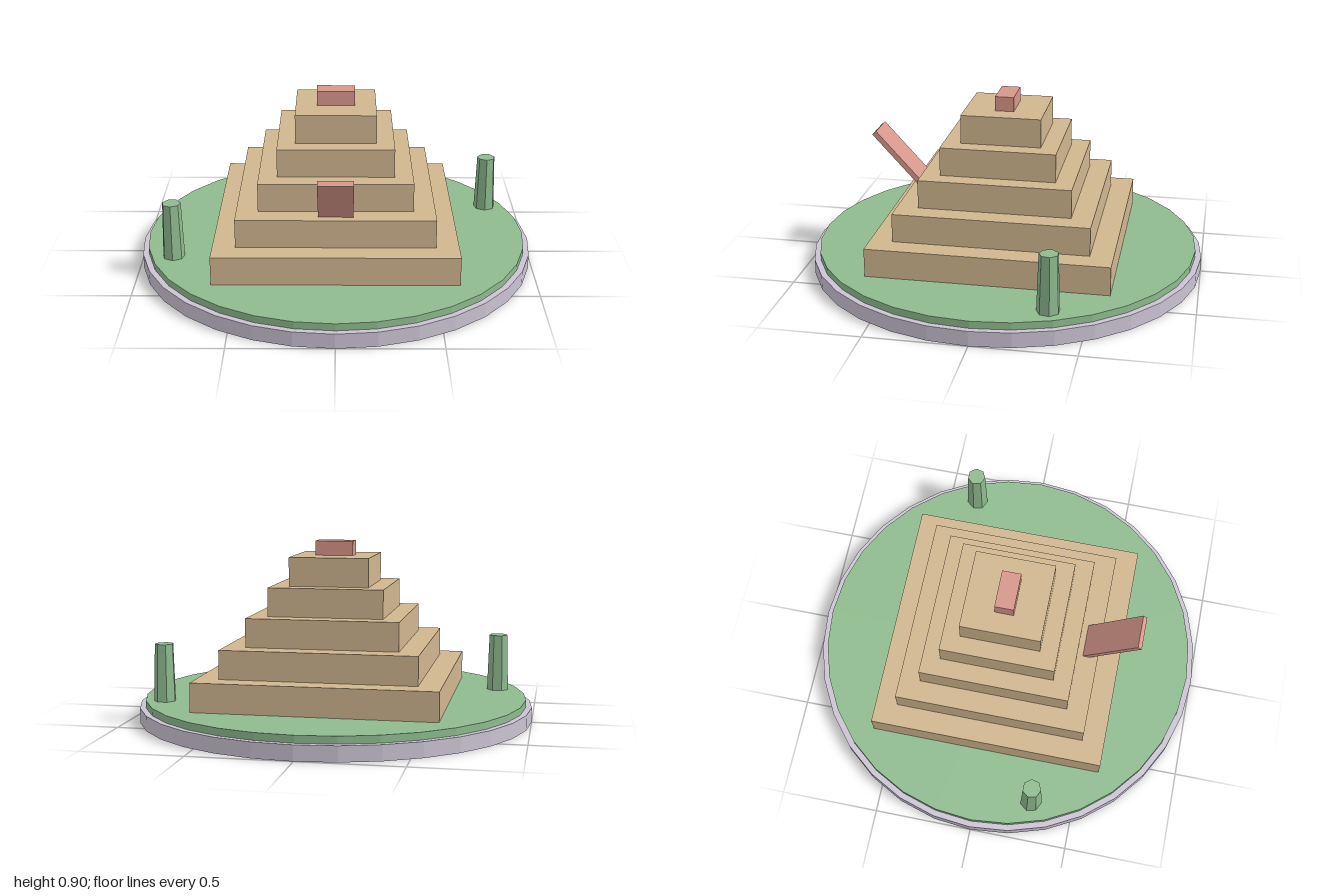
import * as THREE from 'three';

export function createModel() {
  const model = new THREE.Group();
  model.name = 'steppedPyramid';

  const material = (name, color) => {
    const m = new THREE.MeshStandardMaterial({ color, flatShading: true });
    m.name = name;
    return m;
  };
  const stone = material('palestone', 0xcbc3d3);
  const grass = material('green', 0x8fbb8f);
  const sand = material('sand', 0xd0b68f);
  const clay = material('clay', 0xd6978a);

  const add = (name, geometry, mat, x, y, z) => {
    const mesh = new THREE.Mesh(geometry, mat);
    mesh.name = name;
    mesh.position.set(x, y, z);
    model.add(mesh);
    return mesh;
  };

  // Round plinth and lawn
  add('plinth', new THREE.CylinderGeometry(1, 1, 0.075, 32), stone, 0, 0.0375, 0);
  add('lawn', new THREE.CylinderGeometry(0.97, 0.97, 0.036, 32), grass, 0, 0.093, 0);

  // Square tiers: each has a width and shares its edges with the next level
  const levels = [0.111, 0.255, 0.398, 0.541, 0.684, 0.828];
  [1.195, 0.97, 0.757, 0.575, 0.4].forEach((width, i) => {
    const height = levels[i + 1] - levels[i];
    add(`tier${i + 1}`, new THREE.BoxGeometry(width, height, width), sand, 0, levels[i] + height / 2, 0);
  });

  // Small block on the summit
  add('summitBlock', new THREE.BoxGeometry(0.19, 0.073, 0.095), clay, 0, 0.8645, 0);

  // Slab leaning out of the second tier, its foot sunk into the stone
  const slope = THREE.MathUtils.degToRad(47.5);
  const length = 0.41;
  const slab = new THREE.BoxGeometry(0.17, 0.027, length);
  slab.translate(0, 0, -length / 2);
  add('leaningSlab', slab, clay, 0, 0.671, 0.676).rotation.x = -slope;

  // Seven-sided tapering posts
  [[0.807, -0.335], [-0.812, 0.283]].forEach(([x, z], i) => {
    add(`post${i + 1}`, new THREE.CylinderGeometry(0.047, 0.056, 0.29, 7), grass, x, 0.254, z);
  });

  return model;
}
